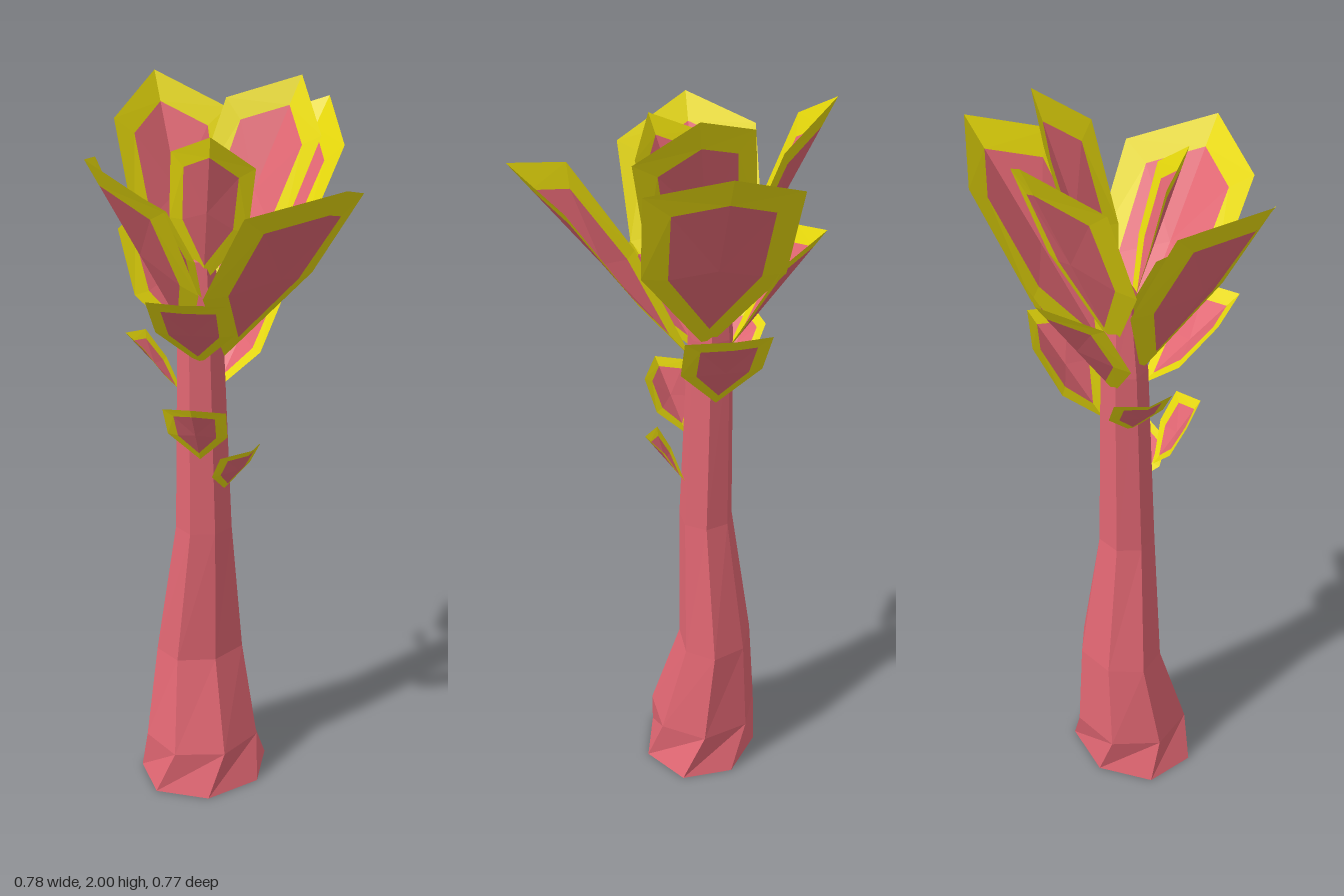
import * as THREE from 'three';

const pink = new THREE.MeshStandardMaterial({ color: 0xe06672, flatShading: true, side: THREE.DoubleSide });
const yellow = new THREE.MeshStandardMaterial({ color: 0xe6d80c, flatShading: true, side: THREE.DoubleSide });

// Builds a faceted mesh from a list of triangles given as Vector3 triples
function facetMesh(name, points, material) {
  const geometry = new THREE.BufferGeometry().setFromPoints(points);
  geometry.computeVertexNormals();
  const mesh = new THREE.Mesh(geometry, material);
  mesh.name = name;
  return mesh;
}

// Trunk: seven-sided loft, flared and twisted at the foot, pointed at the top
function makeTrunk() {
  const sides = 7;
  // y, centre x, centre z, radius x, radius z, twist
  const sections = [
    [0, -0.047, -0.07, 0, 0, -0.3],
    [0, -0.047, -0.07, 0.193, 0.163, -0.3],
    [0.13, -0.048, -0.08, 0.166, 0.155, 0],
    [0.4, -0.037, -0.113, 0.13, 0.103, 0],
    [0.8, -0.037, -0.083, 0.08, 0.074, 0],
    [1.35, -0.04, -0.09, 0.063, 0.06, 0],
    [1.56, -0.038, -0.09, 0.038, 0.038, 0],
    [1.62, -0.038, -0.09, 0, 0, 0],
  ];
  const rings = sections.map(([y, cx, cz, rx, rz, twist]) =>
    Array.from({ length: sides }, (_, i) => {
      const a = (i / sides) * Math.PI * 2 + twist;
      return new THREE.Vector3(cx + rx * Math.sin(a), y, cz + rz * Math.cos(a));
    }));
  const points = [];
  for (let r = 0; r < rings.length - 1; r++) {
    for (let i = 0; i < sides; i++) {
      const j = (i + 1) % sides;
      const [a, b, c, d] = [rings[r][i], rings[r][j], rings[r + 1][j], rings[r + 1][i]];
      if (r > 0) points.push(a, b, c);
      if (r === 0 || r < rings.length - 2) points.push(a, c, d);
    }
  }
  return facetMesh('trunk', points, pink);
}

// Leaf: six-cornered blade creased along its midline, with a pink heart and yellow rim
function makeLeaf([bx, by, bz, tx, ty, tz, w, roll = 0]) {
  const base = new THREE.Vector3(bx, by, bz);
  const tip = new THREE.Vector3(tx, ty, tz);
  const axis = tip.clone().sub(base).normalize();
  const side = new THREE.Vector3(0, 1, 0).cross(axis).normalize().applyAxisAngle(axis, roll);
  const normal = axis.clone().cross(side);
  const at = (t, across, lift) => base.clone().lerp(tip, t)
    .addScaledVector(side, across * w).addScaledVector(normal, lift * w);
  const centre = at(0.5, 0, 0);
  const heart = [], rim = [];
  for (const s of [1, -1]) {
    const outer = [base, at(0.38, 0.95 * s, 0.22), at(0.8, s, 0.35), tip];
    const inner = [at(0.13, 0, 0), at(0.4, 0.61 * s, 0.14), at(0.74, 0.65 * s, 0.22), at(0.87, 0, 0)];
    for (let i = 0; i < 3; i++) {
      const [a, b, c, d] = [outer[i], outer[i + 1], inner[i + 1], inner[i]];
      if (s > 0) {
        rim.push(a, b, c, a, c, d);
        heart.push(centre, d, c);
      } else {
        rim.push(a, c, b, a, d, c);
        heart.push(centre, c, d);
      }
    }
  }
  const leaf = new THREE.Group();
  leaf.name = 'leaf';
  leaf.add(facetMesh('leafHeart', heart, pink), facetMesh('leafRim', rim, yellow));
  return leaf;
}

export function createModel() {
  const model = new THREE.Group();
  model.name = 'plant';
  model.add(makeTrunk());

  // Base x y z, tip x y z, half width, optional roll about the midline
  const leaves = [
    // crown
    [0.01, 1.3, -0.05, 0.12, 1.83, 0.385, 0.188],
    [0.0, 1.33, -0.085, 0.39, 1.92, -0.21, 0.187],
    [-0.03, 1.41, -0.11, -0.037, 1.99, -0.385, 0.16],
    [-0.02, 1.44, -0.09, 0.255, 2.0, -0.11, 0.152, 0.45],
    [-0.08, 1.35, -0.07, -0.39, 1.88, 0.045, 0.182, -0.3],
    [-0.05, 1.46, -0.055, -0.26, 1.78, -0.04, 0.088],
    [-0.04, 1.5, -0.07, -0.085, 1.91, 0.08, 0.108, -0.4],
    // middle
    [-0.06, 1.29, -0.05, -0.195, 1.53, 0.155, 0.107],
    [-0.05, 1.3, -0.13, -0.055, 1.65, -0.375, 0.137],
    [0.015, 1.18, -0.115, 0.205, 1.45, -0.195, 0.112],
    // lower shoots
    [-0.085, 1.19, -0.11, -0.22, 1.36, -0.17, 0.075],
    [-0.075, 1.03, -0.02, -0.145, 1.22, 0.08, 0.084],
    [0.0, 0.925, -0.03, 0.035, 1.07, 0.07, 0.075],
  ];
  for (const spec of leaves) model.add(makeLeaf(spec));
  return model;
}
